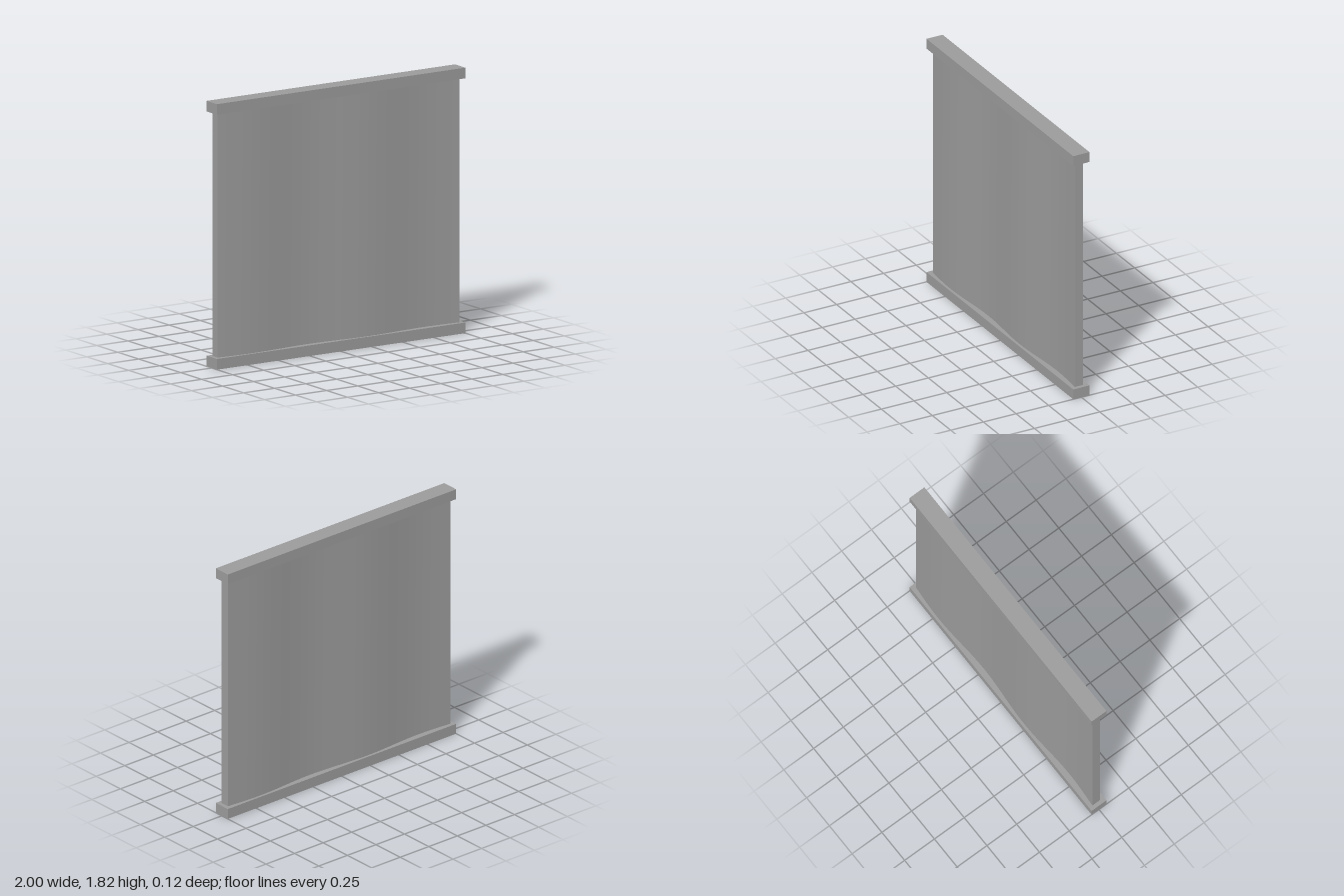
import * as THREE from 'three';

export function createModel() {
  const group = new THREE.Group();
  const material = new THREE.MeshStandardMaterial({ color: 0x9b9b9b });

  const width = 2, height = 1.815, railHeight = 0.073, railDepth = 0.124;
  const panelWidth = 1.944, panelDepth = 0.064, waveHeight = 0.012, waveLength = 0.94;

  const add = (name, geometry, y) => {
    const mesh = new THREE.Mesh(geometry, material);
    mesh.name = name;
    mesh.position.y = y;
    group.add(mesh);
  };

  // Straight rails along the bottom and top
  add('bottomRail', new THREE.BoxGeometry(width, railHeight, railDepth), railHeight / 2);
  add('topRail', new THREE.BoxGeometry(width, railHeight, railDepth), height - railHeight / 2);

  // Panel between the rails, rippled in gentle waves along its width
  const panel = new THREE.BoxGeometry(panelWidth, height - 2 * railHeight, panelDepth, 40, 1, 1);
  const pos = panel.attributes.position;
  for (let i = 0; i < pos.count; i++) {
    const phase = (2 * Math.PI * pos.getX(i)) / waveLength;
    pos.setZ(i, pos.getZ(i) + waveHeight * Math.sin(phase));
  }
  panel.computeVertexNormals();
  add('wavyPanel', panel, height / 2);

  return group;
}
